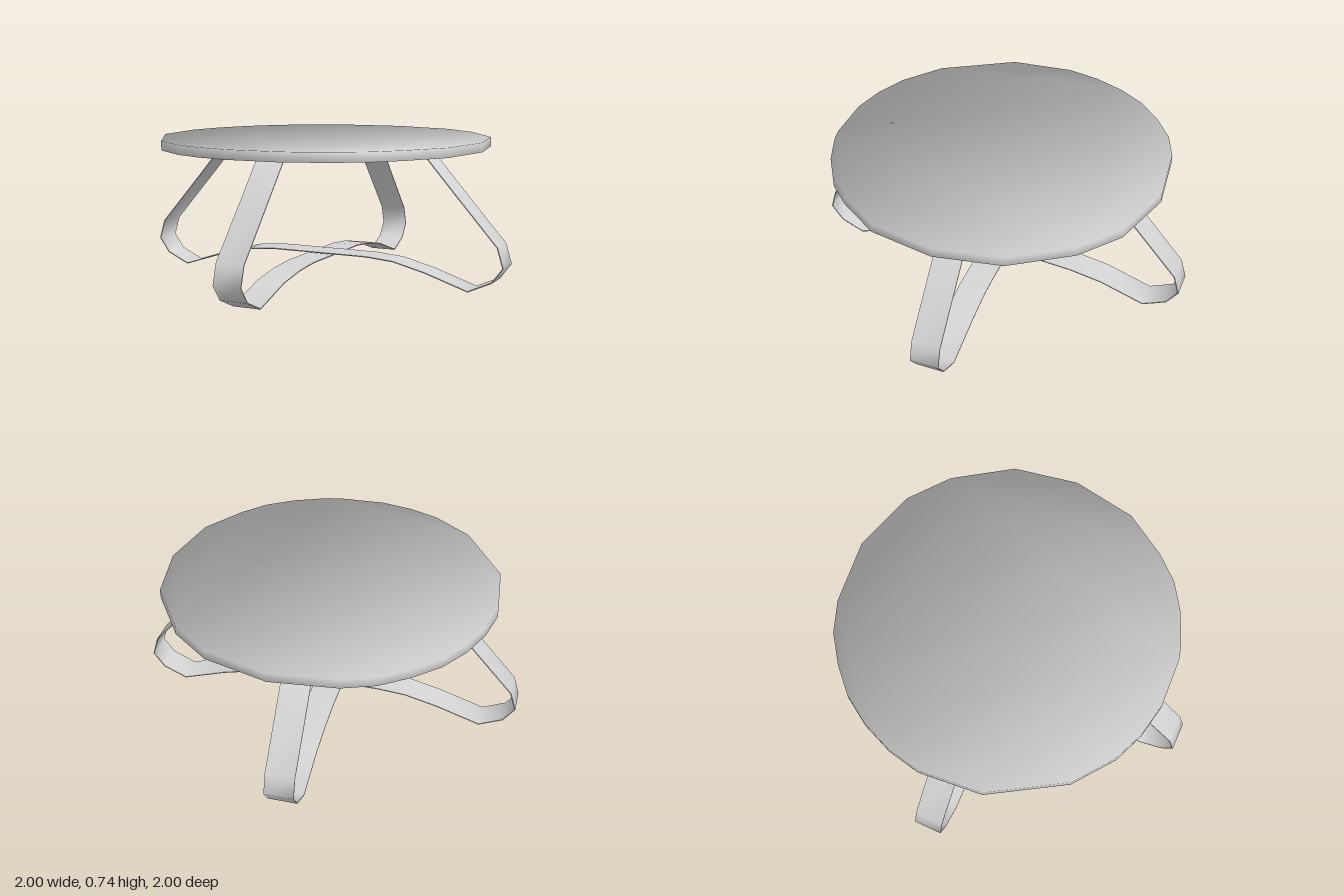
import * as THREE from 'three';
import { toCreasedNormals } from 'three/addons/utils/BufferGeometryUtils.js';

const THICK = 0.005, WIDTH = 0.147;

// Half of a strap: mounting tab, sloping leg, rounded foot, rising stretcher
const HALF = [
  [0.30, 0.675], [0.585, 0.675], [0.72, 0.52], [0.967, 0.24], [0.997, 0.14],
  [0.94, 0.062], [0.82, 0.008], [0.59, 0.083], [0.42, 0.125], [0.27, 0.137],
];

// Irregular faceted rim of the table top, as x, z
const RIM = [
  [0.08, -0.86], [0.41, -0.765], [0.61, -0.61], [0.80, -0.33], [0.86, 0], [0.80, 0.33],
  [0.66, 0.545], [0.55, 0.665], [0.41, 0.755], [0.24, 0.825], [0.17, 0.842], [-0.08, 0.853],
  [-0.25, 0.82], [-0.41, 0.755], [-0.61, 0.605], [-0.83, 0.245], [-0.86, -0.08],
  [-0.825, -0.25], [-0.76, -0.41], [-0.67, -0.55], [-0.55, -0.665], [-0.41, -0.765], [-0.25, -0.825],
];

// Flat disc whose normals fan outwards, so rim and faces shade as one smooth surface
function discGeometry(bottom, top) {
  const outline = new THREE.Shape(RIM.map(([x, z]) => new THREE.Vector2(x, -z)));
  const geometry = new THREE.ExtrudeGeometry(outline, { depth: top - bottom, bevelEnabled: false });
  geometry.rotateX(-Math.PI / 2).translate(0, bottom, 0);
  const { position, normal } = geometry.attributes;
  const n = new THREE.Vector3();
  for (let i = 0; i < position.count; i++) {
    n.fromBufferAttribute(position, i);
    n.y = n.y > (bottom + top) / 2 ? 0.3 : -0.3;
    n.normalize();
    normal.setXYZ(i, n.x, n.y, n.z);
  }
  return geometry;
}

// Thin band following a path, with mitred corners and smooth bends
function bandGeometry(path) {
  const offset = (side) => path.map((p, i) => {
    const a = path[Math.max(i - 1, 0)], b = path[Math.min(i + 1, path.length - 1)];
    const d1 = (i > 0 ? p.clone().sub(a) : b.clone().sub(p)).normalize();
    const d2 = (i < path.length - 1 ? b.clone().sub(p) : d1.clone()).normalize();
    const n1 = new THREE.Vector2(-d1.y, d1.x);
    const n = n1.clone().add(new THREE.Vector2(-d2.y, d2.x)).normalize();
    return p.clone().addScaledVector(n, side * THICK / 2 / Math.max(n.dot(n1), 0.5));
  });
  const shape = new THREE.Shape([...offset(1), ...offset(-1).reverse()]);
  const geometry = new THREE.ExtrudeGeometry(shape, { depth: WIDTH, bevelEnabled: false });
  return toCreasedNormals(geometry.translate(0, 0, -WIDTH / 2 - 0.003), Math.PI / 3);
}

export function createModel() {
  const group = new THREE.Group();
  group.name = 'roundTable';
  const grey = new THREE.MeshStandardMaterial({ color: 0xd4d4d4 });
  grey.name = 'grey';

  // Table top
  const top = new THREE.Mesh(discGeometry(0.697, 0.745), grey);
  top.name = 'tableTop';
  group.add(top);

  // Two crossing straps, each forming a pair of legs and the stretcher between them
  ['sideLegs', 'frontBackLegs'].forEach((name, i) => {
    const half = HALF.map(([x, y]) => new THREE.Vector2(x, y - (x < 0.5 && y < 0.3 ? i * 0.012 : 0)));
    const mirrored = half.map((p) => new THREE.Vector2(-p.x, p.y)).reverse();
    const legs = new THREE.Mesh(bandGeometry([...half, ...mirrored]), grey);
    legs.name = name;
    legs.rotation.y = i * Math.PI / 2;
    group.add(legs);
  });
  return group;
}
